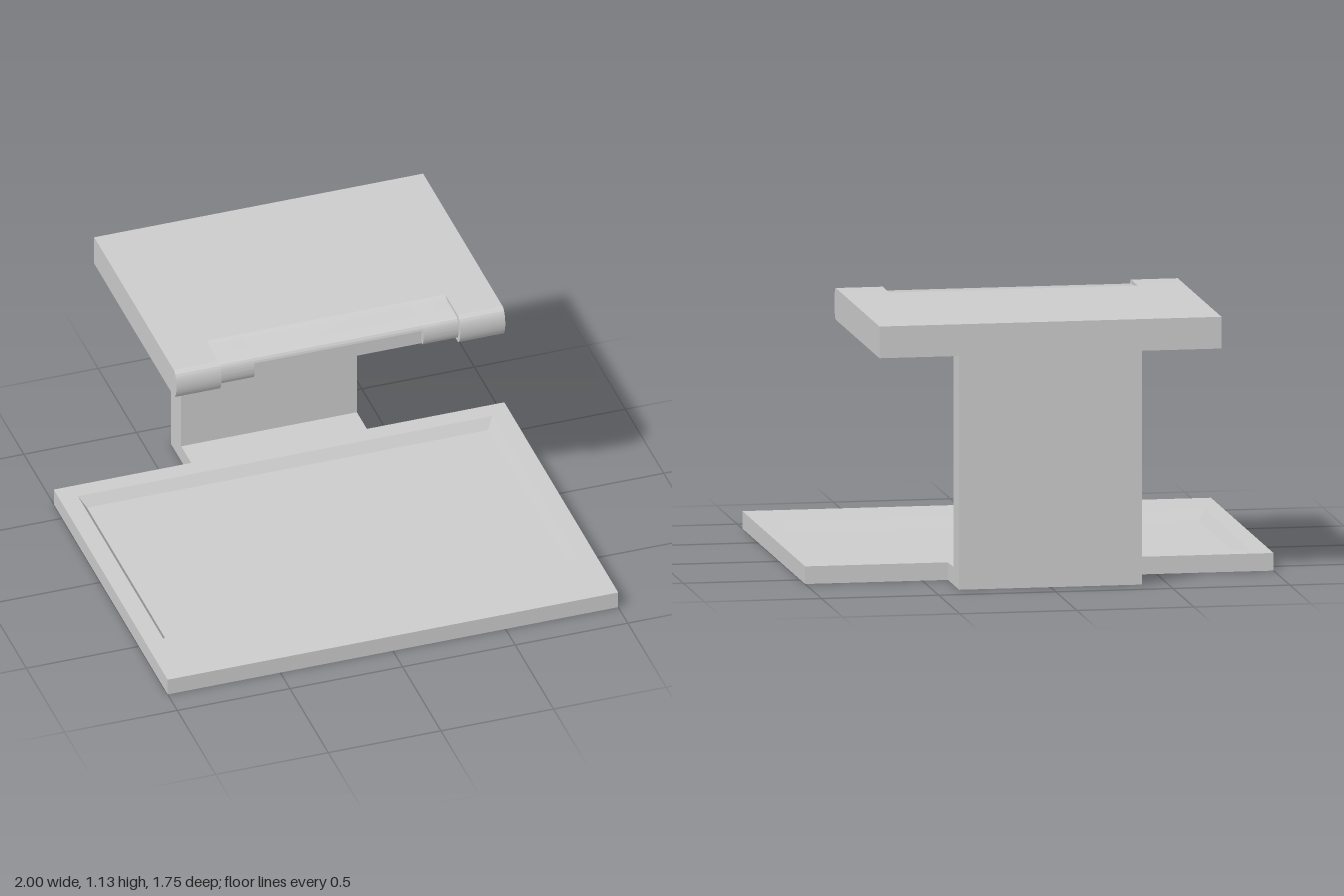
import * as THREE from 'three';
import { toCreasedNormals } from 'three/addons/utils/BufferGeometryUtils.js';

const material = new THREE.MeshStandardMaterial({ color: 0xcccccc, side: THREE.DoubleSide });

const BASE_TOP = 0.075, FLOOR = 0.03;      // base plate heights
const SHELF_LOW = 0.995, SHELF_TOP = 1.13; // shelf heights
const BACK = -0.875, FRONT = 0.875, COLUMN_X = 0.39, COLUMN_Z = -0.74;

// Plan rectangle as [x, z] corners, anticlockwise from above
const rect = (x, z0, z1) => [[-x, z1], [x, z1], [x, z0], [-x, z0]];

// Ring of wall quads from a lower loop to an upper loop
function wall(low, y0, high, y1) {
  const pos = [];
  low.forEach(([ax, az], i) => {
    const j = (i + 1) % low.length;
    const [bx, bz] = low[j], [cx, cz] = high[j], [dx, dz] = high[i];
    pos.push(ax, y0, az, bx, y0, bz, cx, y1, cz);
    pos.push(ax, y0, az, cx, y1, cz, dx, y1, dz);
  });
  const g = new THREE.BufferGeometry();
  g.setAttribute('position', new THREE.Float32BufferAttribute(pos, 3));
  g.computeVertexNormals();
  return g;
}

// Flat upward-facing sheet, with optional holes
function sheet(loop, y, holes = []) {
  const points = (l) => l.map(([x, z]) => new THREE.Vector2(x, -z));
  const shape = new THREE.Shape(points(loop));
  holes.forEach((h) => shape.holes.push(new THREE.Path(points(h))));
  return new THREE.ShapeGeometry(shape).rotateX(-Math.PI / 2).translate(0, y, 0);
}

// Side profile (z, y) extruded across x
function acrossX(shape, x0, x1) {
  const g = new THREE.ExtrudeGeometry(shape, { depth: x1 - x0, bevelEnabled: false, curveSegments: 20 });
  return toCreasedNormals(g.rotateY(-Math.PI / 2).translate(x1, 0, 0), 0.6);
}

export function createModel() {
  const model = new THREE.Group();
  const add = (name, geometry) => {
    const mesh = new THREE.Mesh(geometry, material);
    mesh.name = name;
    model.add(mesh);
  };

  // Base: hollow plate, open below, with a tongue at the back under the column
  const outline = [
    [-1, FRONT], [1, FRONT], [1, -0.61], [COLUMN_X, -0.61],
    [COLUMN_X, BACK], [-COLUMN_X, BACK], [-COLUMN_X, -0.61], [-1, -0.61],
  ];
  // The plate top stops at the column's front so the column stays hollow
  const topOutline = outline.map(([x, z]) => [x, Math.max(z, COLUMN_Z)]);
  const opening = rect(0.92, -0.53, 0.58);
  const floor = rect(0.89, -0.5, 0.55);
  add('baseSides', wall(outline, 0, outline, BASE_TOP));
  add('baseTop', sheet(topOutline, BASE_TOP, [opening]));

  // Tray: sloped rim and floor
  add('trayRim', wall([...floor].reverse(), FLOOR, [...opening].reverse(), BASE_TOP));
  add('trayFloor', sheet(floor, FLOOR));

  // Column: hollow upright
  const column = rect(COLUMN_X, BACK, COLUMN_Z);
  add('column', wall(column, BASE_TOP, column, SHELF_LOW));

  // Shelf body
  const height = SHELF_TOP - SHELF_LOW, mid = (SHELF_TOP + SHELF_LOW) / 2;
  add('shelf', new THREE.BoxGeometry(1.46, height, -BACK).translate(0, mid, BACK / 2));

  // Shelf ends with rounded noses
  const nose = new THREE.Shape();
  nose.moveTo(0, SHELF_LOW);
  nose.lineTo(0.16, SHELF_LOW);
  nose.absellipse(0.16, mid, 0.036, height / 2, -Math.PI / 2, Math.PI / 2, false);
  nose.lineTo(0, SHELF_TOP);
  add('leftShelfEnd', acrossX(nose, 0.53, 0.73));
  add('rightShelfEnd', acrossX(nose, -0.73, -0.53));

  // Front bar between the ends: slimmer, sloping in from the shelf
  const bar = new THREE.Shape();
  bar.moveTo(0, SHELF_LOW);
  bar.lineTo(0.03, 1.01);
  bar.lineTo(0.15, 1.01);
  bar.absellipse(0.15, mid, 0.024, 0.0525, -Math.PI / 2, Math.PI / 2, false);
  bar.lineTo(0.03, 1.115);
  bar.lineTo(0, SHELF_TOP);
  add('leftFrontBar', acrossX(bar, 0.375, 0.53));
  add('rightFrontBar', acrossX(bar, -0.53, -0.375));

  // Middle of the bar, set back under a thin lip
  const slot = new THREE.Shape();
  slot.moveTo(0, SHELF_LOW);
  slot.lineTo(0.03, 1.01);
  slot.lineTo(0.145, 1.01);
  slot.lineTo(0.145, 1.09);
  slot.lineTo(0.17, 1.09);
  slot.quadraticCurveTo(0.165, 1.115, 0.15, 1.115);
  slot.lineTo(0.03, 1.115);
  slot.lineTo(0, SHELF_TOP);
  add('frontBarSlot', acrossX(slot, -0.375, 0.375));

  return model;
}
